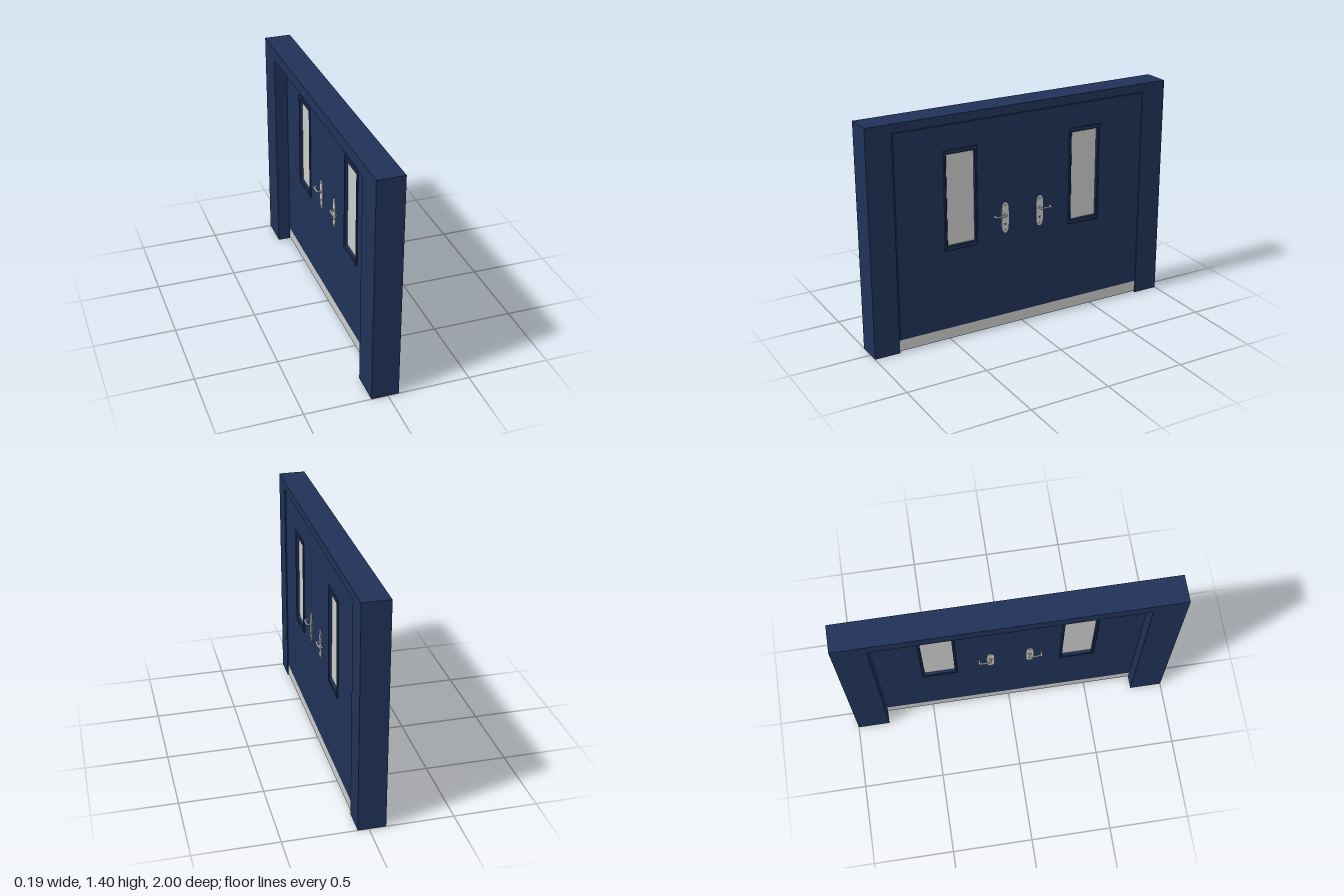
import * as THREE from 'three';

const blue = new THREE.MeshStandardMaterial({ color: 0x203258 });
const grey = new THREE.MeshStandardMaterial({ color: 0xcccccc });

// Layers through the wall thickness (x)
const BACK = -0.1, REBATE = -0.02, DOOR_FRONT = 0.06, FRONT = 0.065;

function mesh(name, geometry, material) {
  const m = new THREE.Mesh(geometry, material);
  m.name = name;
  return m;
}

function polygon(points, Type = THREE.Shape) {
  return new Type(points.map(([x, y]) => new THREE.Vector2(x, y)));
}

function rect(x0, y0, x1, y1, Type) {
  return polygon([[x0, y0], [x1, y0], [x1, y1], [x0, y1]], Type);
}

// Extrudes an outline drawn in (-z, y) from x0 to x1
function extrudeX(shape, x0, x1, bevel = 0) {
  const g = new THREE.ExtrudeGeometry(shape, {
    depth: x1 - x0 - 2 * bevel, curveSegments: 16,
    bevelEnabled: bevel > 0, bevelThickness: bevel, bevelSize: bevel,
    bevelOffset: -bevel, bevelSegments: 1,
  });
  g.translate(0, 0, x0 + bevel);
  return g.rotateY(Math.PI / 2);
}

// Two jambs and a head in one outline
function archShape(half, top) {
  return polygon([[-1, 0], [-half, 0], [-half, top], [half, top], [half, 0], [1, 0], [1, 1.405], [-1, 1.405]]);
}

// Long rounded plate with screw holes and a keyhole
function plateShape() {
  const s = new THREE.Shape();
  s.moveTo(-0.022, -0.06);
  s.bezierCurveTo(-0.02, -0.11, 0.02, -0.11, 0.022, -0.06);
  s.quadraticCurveTo(0.026, 0, 0.022, 0.06);
  s.bezierCurveTo(0.02, 0.11, -0.02, 0.11, -0.022, 0.06);
  s.quadraticCurveTo(-0.026, 0, -0.022, -0.06);
  for (const [y, r] of [[0.078, 0.004], [-0.078, 0.004], [-0.042, 0.007]]) {
    s.holes.push(new THREE.Path().absarc(0, y, r, 0, Math.PI * 2, true));
  }
  return s;
}

// Handle set facing +x; the lever points along dir in z
function handle(dir) {
  const g = new THREE.Group();
  g.add(mesh('handlePlate', extrudeX(plateShape(), 0, 0.005), grey));

  const rose = new THREE.CylinderGeometry(0.011, 0.011, 0.008, 20).rotateZ(Math.PI / 2);
  rose.translate(0.005, 0.018, 0);
  g.add(mesh('handleRose', rose, grey));

  // Lever: out from the plate, along, and back towards the door
  const p = (x, z) => new THREE.Vector3(x, 0.018, z * dir);
  const path = new THREE.CurvePath();
  path.add(new THREE.LineCurve3(p(0, 0), p(0.018, 0)));
  path.add(new THREE.QuadraticBezierCurve3(p(0.018, 0), p(0.028, 0), p(0.028, 0.01)));
  path.add(new THREE.LineCurve3(p(0.028, 0.01), p(0.028, 0.06)));
  path.add(new THREE.QuadraticBezierCurve3(p(0.028, 0.06), p(0.028, 0.07), p(0.019, 0.07)));
  path.add(new THREE.LineCurve3(p(0.019, 0.07), p(0.006, 0.07)));
  g.add(mesh('lever', new THREE.TubeGeometry(path, 48, 0.0055, 12), grey));
  const cap = new THREE.SphereGeometry(0.0055, 12, 8);
  cap.translate(0.006, 0.018, 0.07 * dir);
  g.add(mesh('leverTip', cap, grey));
  return g;
}

export function createModel() {
  const model = new THREE.Group();
  model.name = 'doubleDoor';

  // Rebated frame: narrow opening behind, wider one in front
  const frame = new THREE.Group();
  frame.name = 'doorFrame';
  frame.add(mesh('frameBack', extrudeX(archShape(0.8, 1.33), BACK, REBATE), blue));
  frame.add(mesh('frameFront', extrudeX(archShape(0.84, 1.352), REBATE, FRONT), blue));
  model.add(frame);

  // Door panel with window openings
  const door = rect(-0.832, 0.08, 0.84, 1.345);
  const windows = [-0.42, 0.423];
  for (const u of windows) door.holes.push(rect(u - 0.095, 0.6, u + 0.095, 1.185, THREE.Path));
  model.add(mesh('doorPanel', extrudeX(door, REBATE, DOOR_FRONT), blue));

  // Kick plate wrapped round the door's lower edge
  const kick = new THREE.BoxGeometry(DOOR_FRONT - REBATE, 0.07, 1.676);
  kick.translate((DOOR_FRONT + REBATE) / 2, 0.045, 0);
  model.add(mesh('kickPlate', kick, grey));

  // Windows: trim standing proud on both faces, pane set in
  for (const u of windows) {
    const trim = rect(u - 0.108, 0.583, u + 0.108, 1.2);
    trim.holes.push(rect(u - 0.092, 0.61, u + 0.092, 1.174, THREE.Path));
    model.add(mesh('windowTrim', extrudeX(trim, REBATE - 0.008, DOOR_FRONT + 0.008, 0.004), blue));
    const pane = new THREE.BoxGeometry(0.056, 0.57, 0.188);
    pane.translate((DOOR_FRONT + REBATE) / 2, 0.892, -u);
    model.add(mesh('windowPane', pane, grey));
  }

  // A handle on each leaf, on both faces
  for (const [z, dir] of [[0.128, 1], [-0.11, -1]]) {
    const outer = handle(dir);
    outer.name = 'outerHandle';
    outer.position.set(DOOR_FRONT, 0.717, z);
    const inner = handle(-dir);
    inner.name = 'innerHandle';
    inner.rotation.y = Math.PI;
    inner.position.set(REBATE, 0.717, z);
    model.add(outer, inner);
  }

  return model;
}
